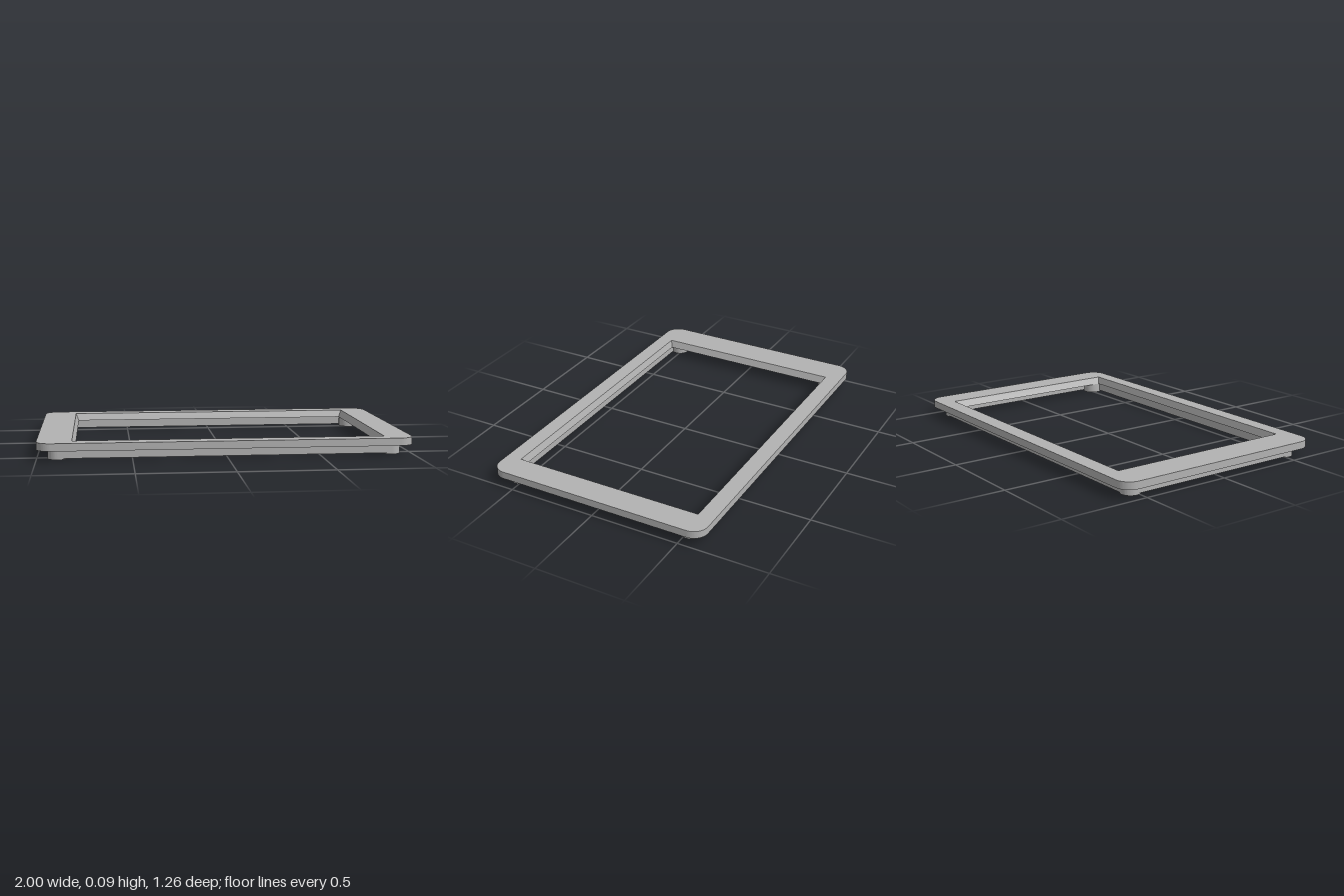
import * as THREE from 'three';
import { toCreasedNormals } from 'three/addons/utils/BufferGeometryUtils.js';

// Rounded rectangle outline centred on the origin
function roundedRect(Kind, hw, hd, r) {
  const s = new Kind();
  s.absarc(hw - r, hd - r, r, 0, Math.PI / 2);
  s.absarc(-hw + r, hd - r, r, Math.PI / 2, Math.PI);
  s.absarc(-hw + r, -hd + r, r, Math.PI, Math.PI * 1.5);
  s.absarc(hw - r, -hd + r, r, Math.PI * 1.5, Math.PI * 2);
  s.closePath();
  return s;
}

// Extrude an outline upward from y0 to y1
function slab(shape, y0, y1) {
  const g = new THREE.ExtrudeGeometry(shape, { depth: y1 - y0, bevelEnabled: false, curveSegments: 12 });
  g.rotateX(-Math.PI / 2);
  g.translate(0, y0, 0);
  return g;
}

export function createModel() {
  const group = new THREE.Group();
  const grey = new THREE.MeshStandardMaterial({ color: 0xb2b2b2 });
  grey.name = 'grey';

  const add = (name, geometry) => {
    const mesh = new THREE.Mesh(toCreasedNormals(geometry, 0.5), grey);
    mesh.name = name;
    group.add(mesh);
    return mesh;
  };

  const plateBottom = 0.054, plateTop = 0.095;

  // Face plate with an off-centre window
  const plate = roundedRect(THREE.Shape, 1, 0.63, 0.08);
  const left = -0.815, right = 0.85, back = -0.537, front = 0.543;
  plate.holes.push(new THREE.Path([
    new THREE.Vector2(left, -front), new THREE.Vector2(left, -back),
    new THREE.Vector2(right, -back), new THREE.Vector2(right, -front),
  ]));
  const plateGeo = slab(plate, plateBottom, plateTop);

  // Window sides slope inward toward the underside
  const p = plateGeo.attributes.position;
  for (let i = 0; i < p.count; i++) {
    const x = p.getX(i), z = p.getZ(i);
    if (p.getY(i) < 0.07 && Math.abs(x) < 0.9 && Math.abs(z) < 0.56) {
      p.setX(i, x - Math.sign(x) * 0.016);
      p.setZ(i, z - Math.sign(z) * 0.012);
    }
  }
  add('facePlate', plateGeo);

  // Thin rim wall under the plate
  const rim = roundedRect(THREE.Shape, 0.943, 0.573, 0.054);
  rim.holes.push(roundedRect(THREE.Path, 0.913, 0.543, 0.024));
  add('rimWall', slab(rim, 0.007, plateBottom));

  // Hollow round bosses in the four corners
  const ring = new THREE.Shape().absarc(0, 0, 0.054, 0, Math.PI * 2);
  ring.holes.push(new THREE.Path().absarc(0, 0, 0.036, 0, Math.PI * 2));
  for (const sx of [-1, 1]) {
    for (const sz of [-1, 1]) {
      const boss = add((sz > 0 ? 'front' : 'back') + (sx > 0 ? 'Left' : 'Right') + 'Boss', slab(ring, 0, plateBottom));
      boss.position.set(sx * 0.889, 0, sz * 0.519);
    }
  }
  return group;
}
